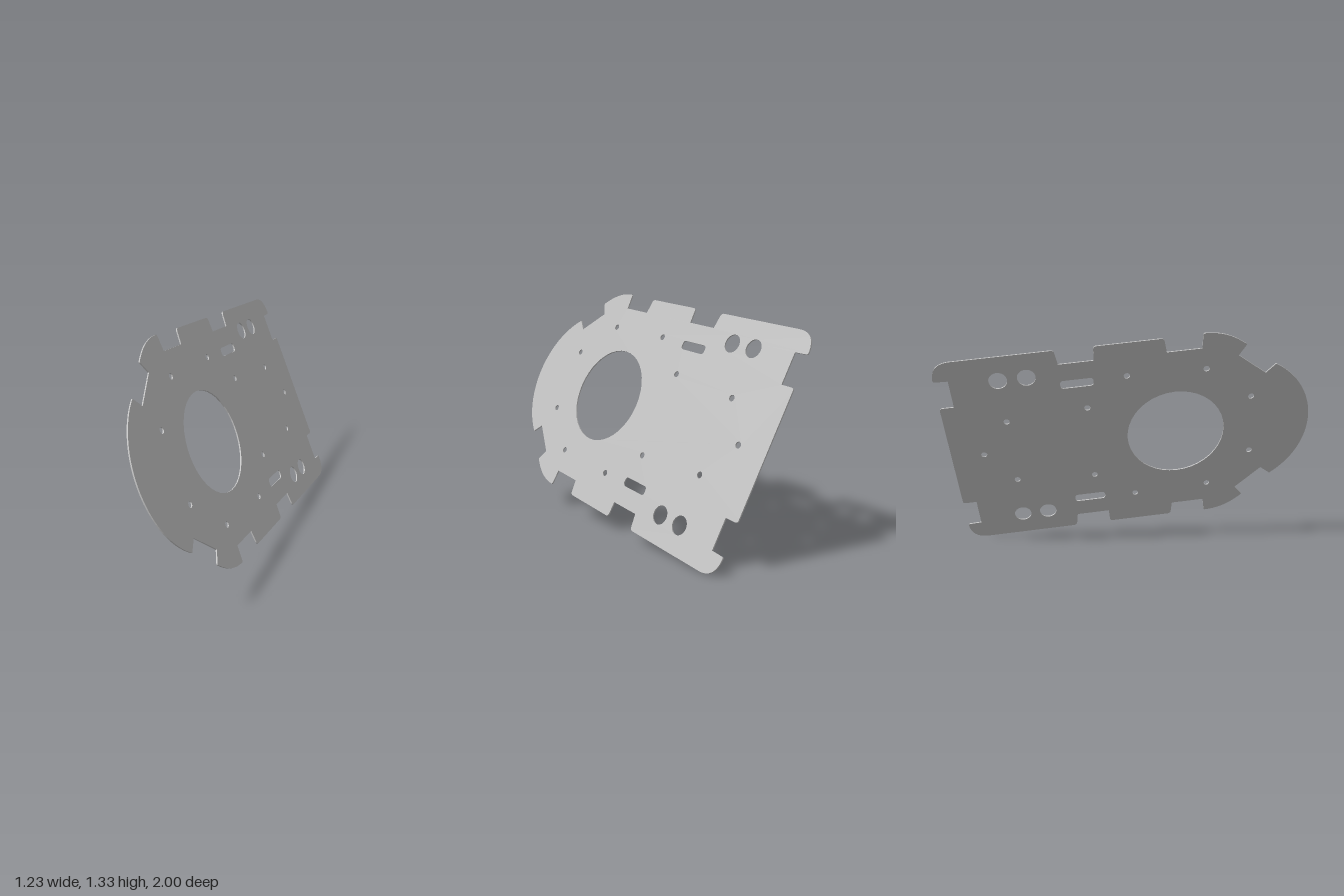
import * as THREE from 'three';

const THICKNESS = 0.008;

// Half outline from nose to tail: [along, across, corner radius]
function halfOutline() {
  const pts = [];
  for (let i = 0; i <= 16; i++) {
    const a = (i / 16) * 0.99;
    pts.push([0.327 + 0.484 * Math.cos(a), 0.484 * Math.sin(a), 0]);
  }
  pts.push(
    [0.533, 0.351, 0], [0.371, 0.488, 0],                         // angled notch
    [0.418, 0.554, 0.01], [0.29, 0.652, 0.115], [0.17, 0.653, 0.012], // curved shoulder
    [0.163, 0.559, 0], [-0.038, 0.559, 0],                        // first gap
    [-0.05, 0.648, 0.02], [-0.444, 0.648, 0.02],                  // middle tab
    [-0.448, 0.559, 0], [-0.648, 0.559, 0],                       // second gap
    [-0.662, 0.65, 0.02], [-1.338, 0.65, 0.11], [-1.342, 0.533, 0.012], // rear tab
    [-1.26, 0.53, 0], [-1.26, 0.356, 0], [-1.342, 0.356, 0.018]   // tail step
  );
  return pts;
}

// Closed path with each corner rounded by its own radius
function roundedPath(path, pts) {
  pts.forEach(([x, y, r], i) => {
    const toward = ([nx, ny]) => {
      const d = Math.hypot(nx - x, ny - y);
      return [x + (nx - x) / d * r, y + (ny - y) / d * r];
    };
    const a = toward(pts[(i + pts.length - 1) % pts.length]);
    const b = toward(pts[(i + 1) % pts.length]);
    if (i === 0) path.moveTo(...a); else path.lineTo(...a);
    if (r > 0) path.quadraticCurveTo(x, y, ...b);
  });
  path.closePath();
  return path;
}

function roundHole(x, y, r) {
  return new THREE.Path().absarc(x, y, r, 0, Math.PI * 2, true);
}

function slot(x, y, w, h, r) {
  return roundedPath(new THREE.Path(), [
    [x - w / 2, y - h / 2, r], [x - w / 2, y + h / 2, r],
    [x + w / 2, y + h / 2, r], [x + w / 2, y - h / 2, r]
  ]);
}

export function createModel() {
  const group = new THREE.Group();
  group.name = 'chassisPlate';
  const grey = new THREE.MeshStandardMaterial({ color: 0xbfbfbf });
  grey.name = 'plate grey';

  // Mirrored outline
  const half = halfOutline();
  const other = half.slice(1).reverse().map(([x, y, r]) => [x, -y, r]);
  const shape = roundedPath(new THREE.Shape(), [...half, ...other]);

  // Central opening, single rear hole, then mirrored pairs
  shape.holes.push(roundHole(0, 0, 0.292), roundHole(-1.151, 0, 0.018));
  for (const s of [1, -1]) {
    for (const [x, y] of [[0.187, 0.424], [-0.27, 0.436], [0.453, 0.2], [-0.512, 0.25], [-0.984, 0.217]])
      shape.holes.push(roundHole(x, s * y, 0.018));
    for (const x of [-0.831, -0.99]) shape.holes.push(roundHole(x, s * 0.498, 0.052));
    shape.holes.push(slot(-0.555, s * 0.424, 0.19, 0.052, 0.022));
  }

  const geometry = new THREE.ExtrudeGeometry(shape, {
    depth: THICKNESS, bevelEnabled: false, curveSegments: 20
  });
  geometry.translate(0, 0, -THICKNESS / 2);

  // Tilt the plate into place
  const along = new THREE.Vector3(0.415, 0.104, 0.904).normalize();
  const normal = new THREE.Vector3(-0.806, -0.418, 0.418).normalize();
  const across = new THREE.Vector3().crossVectors(normal, along).normalize();
  normal.crossVectors(along, across);
  geometry.applyMatrix4(new THREE.Matrix4().makeBasis(along, across, normal).setPosition(0.19, 0.72, 0.265));

  const plate = new THREE.Mesh(geometry, grey);
  plate.name = 'plate';
  group.add(plate);
  return group;
}
